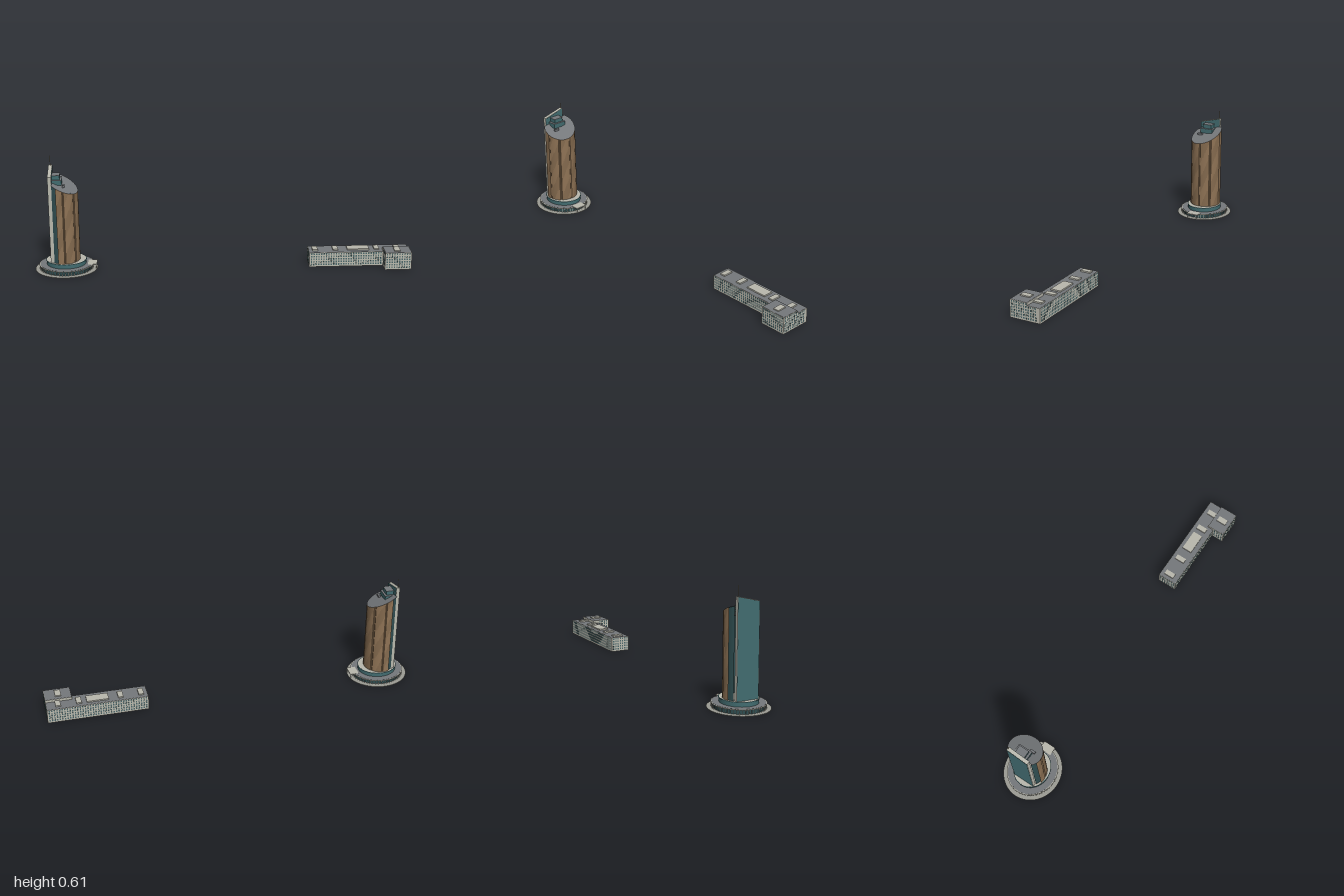
import * as THREE from 'three';
import { mergeGeometries } from 'three/addons/utils/BufferGeometryUtils.js';

const mat = (color, side = THREE.FrontSide) => new THREE.MeshStandardMaterial({ color, side });
const M = {
  concrete: mat(0xb9b8ad), paving: mat(0x9c9c94), roof: mat(0x75787b),
  teal: mat(0x426c70), darkTeal: mat(0x2f4d50, THREE.DoubleSide), glass: mat(0x4a6669),
  brownA: mat(0x8f7355, THREE.DoubleSide), brownB: mat(0x846a4e, THREE.DoubleSide),
  slopedRoof: mat(0x75787b, THREE.DoubleSide), mast: mat(0x8a7a58),
};

function add(parent, name, geometry, material) {
  const mesh = new THREE.Mesh(geometry, material);
  mesh.name = name;
  parent.add(mesh);
  return mesh;
}

// Box given by its minimum and maximum on each axis
function span(x0, x1, y0, y1, z0, z1) {
  return new THREE.BoxGeometry(x1 - x0, y1 - y0, z1 - z0)
    .translate((x0 + x1) / 2, (y0 + y1) / 2, (z0 + z1) / 2);
}

function fromTriangles(points) {
  const g = new THREE.BufferGeometry();
  g.setAttribute('position', new THREE.Float32BufferAttribute(points.flat(), 3));
  g.computeVertexNormals();
  return g;
}

// Tower shaft: a cylinder cut by a sloping plane
const CX = -0.847, R = 0.087, FOOT = 0.05;
const topAt = (x, z) => 0.4755 - 0.48 * (x - CX) - 0.2 * z;
const DEG = Math.PI / 180;

function rim(theta, r) {
  return [CX + r * Math.cos(theta), r * Math.sin(theta)];
}

// Curved wall in rows of panels; pick(column, row) chooses which panels to include
function shaft(limit, radiusAt, cols, rows, pick) {
  const pts = [], h = (0.53 - FOOT) / rows;
  for (let i = 0; i < cols; i++) {
    const ends = [i, i + 1].map(k => {
      const t = -limit + 2 * limit * k / cols;
      return rim(t, radiusAt(t));
    });
    for (let j = 0; j < rows; j++) {
      if (!pick(i, j)) continue;
      const [[a, d], [b, c]] = ends.map(([x, z]) =>
        [j, j + 1].map(k => [x, Math.min(FOOT + k * h, topAt(x, z)), z]));
      if (d[1] - a[1] + c[1] - b[1] > 1e-6) pts.push(a, d, c, a, c, b);
    }
  }
  return fromTriangles(pts);
}

function slopedCap(limit, r, cols) {
  const pts = [], at = t => {
    const [x, z] = rim(t, r);
    return [x, topAt(x, z), z];
  };
  for (let i = 0; i < cols; i++) {
    const t0 = -limit + 2 * limit * i / cols, t1 = t0 + 2 * limit / cols;
    pts.push([CX, topAt(CX, 0), 0], at(t1), at(t0));
  }
  // Straight edge against the fin wall
  pts.push([CX, topAt(CX, 0), 0], at(-limit), at(limit));
  return fromTriangles(pts);
}

function createTower() {
  const tower = new THREE.Group();
  tower.name = 'tower';
  const PX = -0.834;
  const tier = (name, rx, rz, y0, y1, material) => add(tower, name,
    new THREE.CylinderGeometry(1, 1, y1 - y0, 72).scale(rx, 1, rz).translate(PX, (y0 + y1) / 2, 0), material);

  // Stepped oval base
  tier('plaza', 0.165, 0.153, 0, 0.003, M.paving);
  tier('podiumWall', 0.135, 0.124, 0.003, 0.026, M.darkTeal);
  tier('podiumRim', 0.144, 0.133, 0.025, 0.028, M.concrete);
  tier('podiumRoof', 0.139, 0.128, 0.028, 0.029, M.roof);
  tier('upperTier', 0.104, 0.093, 0.029, 0.051, M.teal);
  tier('upperTierRim', 0.107, 0.096, 0.049, 0.053, M.teal);
  tier('terrace', 0.104, 0.093, 0.053, 0.0535, M.concrete);

  // Columns around the podium
  const columns = [];
  for (let i = 0; i < 56; i++) {
    const t = i / 56 * Math.PI * 2;
    columns.push(new THREE.CylinderGeometry(0.0017, 0.0017, 0.023, 6)
      .translate(PX + 0.141 * Math.cos(t), 0.0145, 0.13 * Math.sin(t)));
  }
  add(tower, 'podiumColumns', mergeGeometries(columns), M.concrete);
  add(tower, 'entranceCanopy', span(-0.72, -0.672, 0.025, 0.03, -0.034, 0.034), M.concrete);
  const posts = [-0.03, 0.03].map(z => span(-0.677, -0.674, 0.003, 0.025, z - 0.0015, z + 0.0015));
  add(tower, 'canopyPosts', mergeGeometries(posts), M.concrete);

  // Panelled shaft with stepped diagonal bands and shallow vertical grooves
  const grooved = t => {
    const off = Math.abs(t / DEG - 41 * Math.round(t / DEG / 41));
    return off < 1.4 ? R - 0.003 : R;
  };
  const bodyLimit = Math.acos(-0.025 / R), band = (i, j) => (i + Math.floor(j * 1.1)) % 20 < 10;
  add(tower, 'shaftPanelsLight', shaft(bodyLimit, grooved, 86, 48, band), M.brownA);
  add(tower, 'shaftPanelsDark', shaft(bodyLimit, grooved, 86, 48, (i, j) => !band(i, j)), M.brownB);

  // Recessed glass core joining the shaft to the fin wall
  const coreLimit = Math.acos(-0.046 / 0.08);
  add(tower, 'glassCore', shaft(coreLimit, () => 0.08, 48, 1, () => true), M.darkTeal);
  add(tower, 'slopedRoof', slopedCap(Math.acos(-0.046 / R), R, 72), M.slopedRoof);

  // Fin wall with slanted top: concrete frame, glazed on both faces
  const fin = (name, x0, x1, inset, material) => {
    const w = 0.061 - inset, shape = new THREE.Shape();
    shape.moveTo(-w, FOOT);
    shape.lineTo(w, FOOT);
    shape.lineTo(w, 0.558 - inset);
    shape.lineTo(-w, 0.527 - inset);
    const g = new THREE.ExtrudeGeometry(shape, { depth: x1 - x0, bevelEnabled: false });
    add(tower, name, g.rotateY(Math.PI / 2).translate(x0, 0, 0), material);
  };
  fin('finWall', -0.912, -0.893, 0, M.concrete);
  fin('finGlazing', -0.9128, -0.8922, 0.002, M.teal);

  // Rooftop plant rooms and mast
  add(tower, 'lowerPlantRoom', span(-0.893, -0.842, 0.475, 0.5, -0.037, 0.039), M.teal);
  add(tower, 'lowerPlantRoof', span(-0.893, -0.841, 0.5, 0.502, -0.038, 0.04), M.roof);
  add(tower, 'upperPlantRoom', span(-0.893, -0.852, 0.502, 0.523, -0.026, 0.028), M.teal);
  add(tower, 'upperPlantRoof', span(-0.893, -0.851, 0.523, 0.525, -0.027, 0.029), M.roof);
  add(tower, 'roofHatch', span(-0.838, -0.826, 0.465, 0.476, 0.02, 0.048).rotateX(0), M.roof);
  add(tower, 'mast', new THREE.CylinderGeometry(0.0006, 0.0014, 0.06, 8).translate(-0.903, 0.58, -0.055), M.mast);
  return tower;
}

// Window grid on one wall: axis 'x' runs along x at fixed z, axis 'z' along z at fixed x
function windows(axis, from, to, fixed, rows) {
  const n = Math.round((to - from) / 0.0134), step = (to - from) / n, out = [];
  for (let i = 0; i < n; i++) {
    for (let j = 0; j < rows; j++) {
      const u = from + (i + 0.5) * step, y = 0.0135 + j * 0.0146, d = 0.0006;
      out.push(axis === 'x'
        ? span(u - 0.0035, u + 0.0035, y - 0.0046, y + 0.0046, fixed - d, fixed + d)
        : span(fixed - d, fixed + d, y - 0.0046, y + 0.0046, u - 0.0035, u + 0.0035));
    }
  }
  return out;
}

function createLongBuilding() {
  const building = new THREE.Group();
  building.name = 'longBuilding';
  const block = (name, x0, x1, z0, z1, h) => {
    add(building, name + 'Walls', span(x0, x1, 0, h, z0, z1), M.concrete);
    add(building, name + 'Roof', span(x0 + 0.002, x1 - 0.002, h, h + 0.0008, z0 + 0.002, z1 - 0.002), M.roof);
  };
  block('main', 0.46, 0.999, -0.042, 0.064, 0.079);
  block('annex', 0.857, 0.9992, 0.03, 0.129, 0.094);

  add(building, 'windows', mergeGeometries([
    ...windows('x', 0.465, 0.852, 0.064, 5),
    ...windows('x', 0.465, 0.994, -0.042, 5),
    ...windows('z', -0.037, 0.06, 0.46, 5),
    ...windows('z', -0.024, 0.03, 0.9992, 5),
    ...windows('z', 0.03, 0.124, 0.9992, 6),
    ...windows('x', 0.861, 0.995, 0.129, 6),
    ...windows('z', 0.067, 0.125, 0.857, 6),
  ]), M.glass);

  // Rooftop lift houses
  const houses = [[0.48, 0.508], [0.59, 0.618], [0.668, 0.785], [0.812, 0.84], [0.922, 0.95]]
    .map(([x0, x1]) => span(x0, x1, 0.079, 0.087, -0.02, x1 < 0.9 ? 0.035 : 0.028));
  houses.push(span(0.91, 0.942, 0.094, 0.101, 0.053, 0.107));
  add(building, 'roofHouses', mergeGeometries(houses), M.concrete);
  return building;
}

export function createModel() {
  const model = new THREE.Group();
  model.name = 'towerAndBuilding';
  model.add(createTower(), createLongBuilding());
  return model;
}
